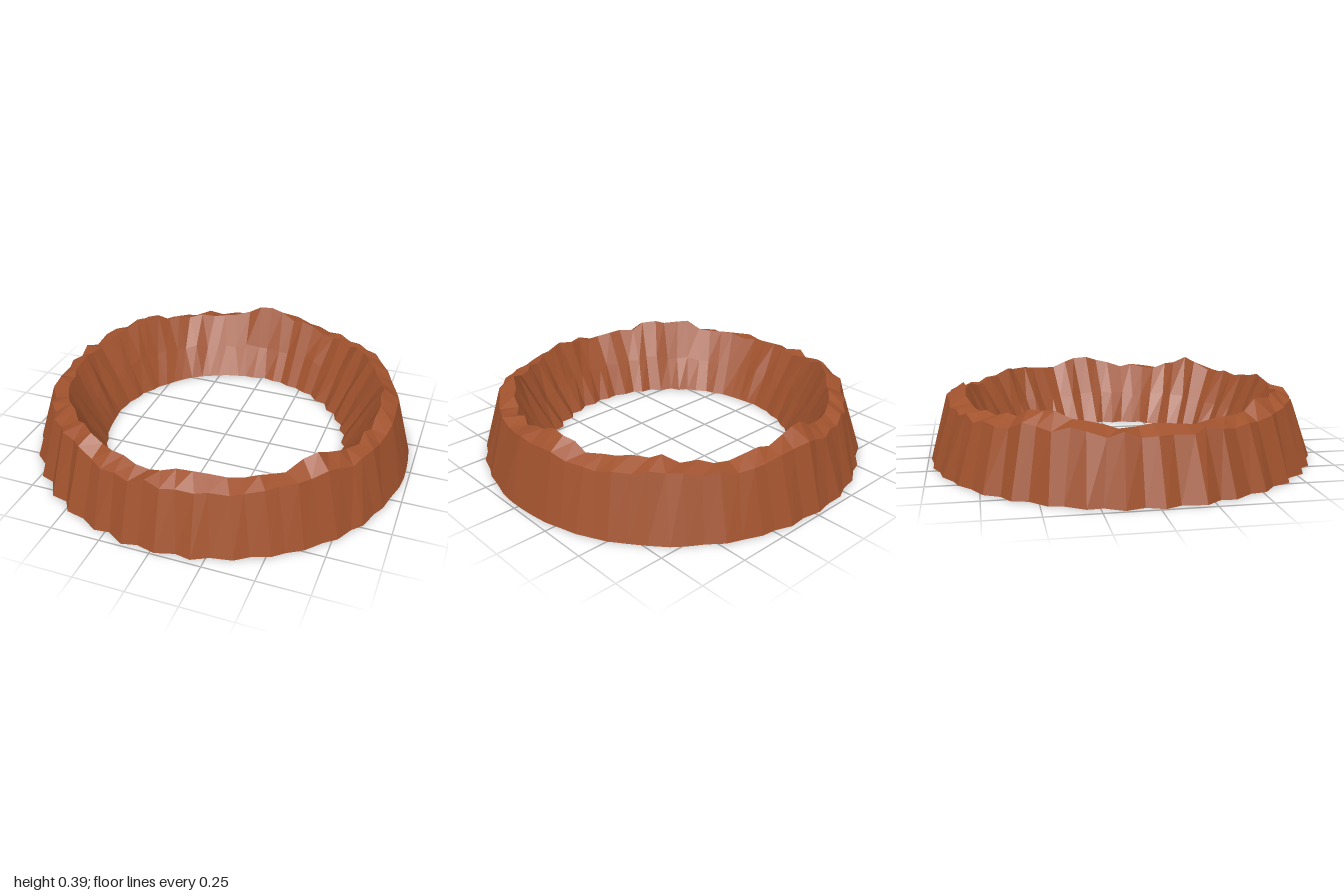
import * as THREE from 'three';

const SEGMENTS = 72;

// Small seeded generator, returns -1..1
function seeded(seed) {
  let s = seed;
  return () => {
    s = (s * 16807) % 2147483647;
    return (s / 2147483647) * 2 - 1;
  };
}

// Crest peaks: [angle in degrees, extra height, width in degrees]
const PEAKS = [
  [-7, 0.06, 9], [-90, 0.07, 10], [41, 0.07, 6], [124, 0.07, 7],
  [139, 0.06, 5], [-146, 0.05, 10], [-40, 0.03, 9], [80, 0.02, 6],
];

function crestHeight(angle) {
  const deg = THREE.MathUtils.radToDeg(angle);
  let h = 0;
  for (const [at, rise, width] of PEAKS) {
    const d = THREE.MathUtils.euclideanModulo(deg - at + 180, 360) - 180;
    h += rise * Math.exp(-((d / width) ** 2));
  }
  return h;
}

// Rings from the outer foot over the crest to the inner foot:
// radius, height, share of the crest height, zigzag, random height
const RINGS = [
  { r: 0.98, y: 0.0, crest: 0, zigzag: 0.016, rough: 0 },
  { r: 0.89, y: 0.3, crest: 0.45, zigzag: 0.008, rough: 0.018 },
  { r: 0.81, y: 0.325, crest: 1, zigzag: 0.008, rough: 0.016 },
  { r: 0.72, y: 0.16, crest: 0.2, zigzag: 0.012, rough: 0.015 },
  { r: 0.635, y: 0.0, crest: 0, zigzag: 0.014, rough: 0 },
];

function ringPoints(ring, index) {
  const random = seeded(1301 + index * 977);
  const points = [];
  for (let i = 0; i < SEGMENTS; i++) {
    const angle = (i / SEGMENTS) * Math.PI * 2;
    // ridges are strongest on the left of the outer wall, right of the inner
    const side = index < 2 ? -Math.cos(angle + 0.4) : Math.cos(angle - 0.5);
    const ridge = ring.zigzag * (0.55 + 0.45 * side) * (i % 2 ? -1 : 1);
    const radius = ring.r + ridge + random() * 0.005;
    const turn = angle + random() * 0.014 + (index - 2) * 0.012;
    const y = ring.y + ring.crest * crestHeight(angle) + random() * ring.rough;
    points.push([radius * Math.cos(turn), y, radius * Math.sin(turn)]);
  }
  return points;
}

export function createModel() {
  const group = new THREE.Group();
  group.name = 'craterRim';

  const rock = new THREE.MeshStandardMaterial({
    color: 0xa0522d,
    flatShading: true,
    side: THREE.DoubleSide,
  });
  rock.name = 'reddish brown rock';

  const rings = RINGS.map(ringPoints);
  const names = ['outerWall', 'crest', 'upperInnerWall', 'lowerInnerWall'];

  // One faceted band between each pair of rings; the underside stays open
  names.forEach((name, k) => {
    const positions = [];
    for (let i = 0; i < SEGMENTS; i++) {
      const j = (i + 1) % SEGMENTS;
      const a = rings[k][i], b = rings[k][j];
      const c = rings[k + 1][i], d = rings[k + 1][j];
      positions.push(...a, ...c, ...b, ...b, ...c, ...d);
    }
    const geometry = new THREE.BufferGeometry();
    geometry.setAttribute('position', new THREE.Float32BufferAttribute(positions, 3));
    geometry.computeVertexNormals();
    const mesh = new THREE.Mesh(geometry, rock);
    mesh.name = name;
    group.add(mesh);
  });

  return group;
}
